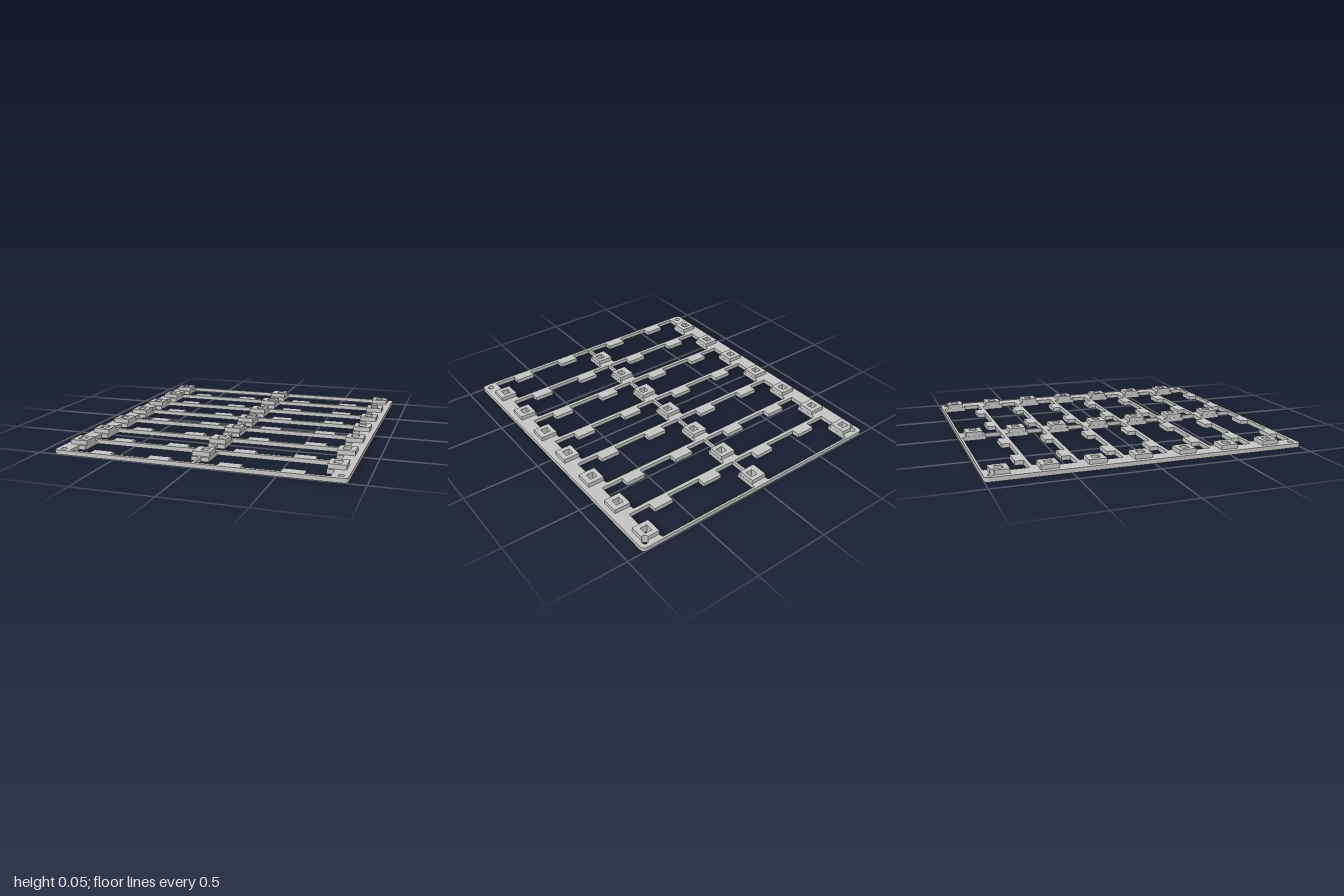
import * as THREE from 'three';

const PLATE = 0.027, BOSS_TOP = 0.055, PITCH = 0.284, ROWS = 7;
const HOLE_X = 0.852, HOLE_BACK = -0.956, HOLE_FRONT = 0.954, HOLE_R = 0.019;
const BOSS_HALF = 0.0545, SOCKET_HALF = 0.024, BOSS_Z = -0.905;

// Outlines are drawn as (x, -z) and extruded upwards
function slab(shape, y, height, material, name) {
  const g = new THREE.ExtrudeGeometry(shape, { depth: height, bevelEnabled: false, curveSegments: 8 });
  g.rotateX(-Math.PI / 2);
  const mesh = new THREE.Mesh(g, material);
  mesh.position.y = y;
  mesh.name = name;
  return mesh;
}

// Closed outline from [x, z, optional corner radius] points listed clockwise
// as seen from above; it is traced the other way so that all walls face outward
function outline(clockwise, Type = THREE.Path) {
  const points = [...clockwise].reverse();
  const path = new Type();
  const n = points.length;
  points.forEach(([x, z, r = 0], i) => {
    const toward = ([px, pz]) => {
      const d = Math.hypot(px - x, pz - z);
      return [x + (px - x) * r / d, -(z + (pz - z) * r / d)];
    };
    const a = toward(points[(i + n - 1) % n]);
    const b = toward(points[(i + 1) % n]);
    if (i === 0) path.moveTo(...a);
    else path.lineTo(...a);
    if (r) path.quadraticCurveTo(x, -z, ...b);
  });
  path.closePath();
  return path;
}

const rect = (x0, x1, z0, z1, r = 0, Type = THREE.Path) =>
  outline([[x0, z0, r], [x1, z0, r], [x1, z1, r], [x0, z1, r]], Type);

const socketHole = (x, z) =>
  rect(x - SOCKET_HALF, x + SOCKET_HALF, z - SOCKET_HALF, z + SOCKET_HALF);

// Opening with ledges in its back corners and clips on its front edge
function windowPath(left, right, ledgeL, ledgeR, top, ledge, bottom, clips) {
  const points = [
    [ledgeL, top, 0.014], [ledgeR, top, 0.014], [ledgeR, ledge], [right, ledge], [right, bottom, 0.006],
  ];
  for (const [a, b] of clips) {
    points.push([b, bottom], [b, bottom - 0.053], [a, bottom - 0.053], [a, bottom]);
  }
  points.push([left, bottom, 0.006], [left, ledge], [ledgeL, ledge]);
  return outline(points);
}

// Arc left where a back screw hole bites the outer corner of a boss
function cornerBite(side, edgeX, edgeZ) {
  const start = Math.acos(Math.abs(edgeX - side * HOLE_X) / HOLE_R);
  const end = Math.PI + Math.asin((HOLE_BACK - edgeZ) / HOLE_R);
  const arc = [];
  for (let k = 0; k <= 8; k++) {
    const a = start + (end - start) * k / 8;
    arc.push([side * (HOLE_X + HOLE_R * Math.cos(a)), HOLE_BACK + HOLE_R * Math.sin(a)]);
  }
  return arc;
}

export function createModel() {
  const model = new THREE.Group();
  model.name = 'ledgedFrame';
  const grey = new THREE.MeshStandardMaterial({ color: 0xc4c4c4 });
  grey.name = 'grey';

  // Socket columns: boss centre, hole centre
  const columns = [[-0.81, -0.811], [0, 0.011], [0.809, 0.807]];

  // Flat frame with windows, socket holes and corner screw holes
  const frame = rect(-0.897, 0.897, -1, 1, 0.03, THREE.Shape);
  for (let i = 0; i < ROWS; i++) {
    const top = i === 0 ? -0.986 : -0.986 + i * PITCH - 0.001;
    const ledge = -0.833 + i * PITCH;
    const bottom = -0.727 + i * PITCH;
    frame.holes.push(
      windowPath(-0.8, -0.009, -0.755, -0.056, top, ledge, bottom, [[-0.29, -0.155], [-0.66, -0.527]]),
      windowPath(0.007, 0.8, 0.056, 0.754, top, ledge, bottom, [[0.521, 0.654], [0.147, 0.284]]),
    );
    for (const [, hx] of columns) frame.holes.push(socketHole(hx, BOSS_Z + i * PITCH));
  }
  for (const x of [-HOLE_X, HOLE_X]) {
    for (const z of [HOLE_BACK, HOLE_FRONT]) {
      frame.holes.push(new THREE.Path().absarc(x, -z, HOLE_R, 0, Math.PI * 2));
    }
  }
  model.add(slab(frame, 0, PLATE, grey, 'frame'));

  // Raised square bosses around the sockets
  for (let i = 0; i < ROWS; i++) {
    const z = BOSS_Z + i * PITCH;
    for (const [x, hx] of columns) {
      const x0 = x - BOSS_HALF, x1 = x + BOSS_HALF, z0 = z - BOSS_HALF, z1 = z + BOSS_HALF;
      const points = [[x0, z0], [x1, z0], [x1, z1], [x0, z1]];
      if (i === 0 && x < 0) points.splice(0, 1, ...cornerBite(-1, x0, z0));
      if (i === 0 && x > 0) points.splice(1, 1, ...cornerBite(1, x1, z0).reverse());
      const boss = outline(points, THREE.Shape);
      boss.holes.push(socketHole(hx, z));
      model.add(slab(boss, PLATE, BOSS_TOP - PLATE, grey, 'socketBoss'));
    }
  }
  return model;
}
